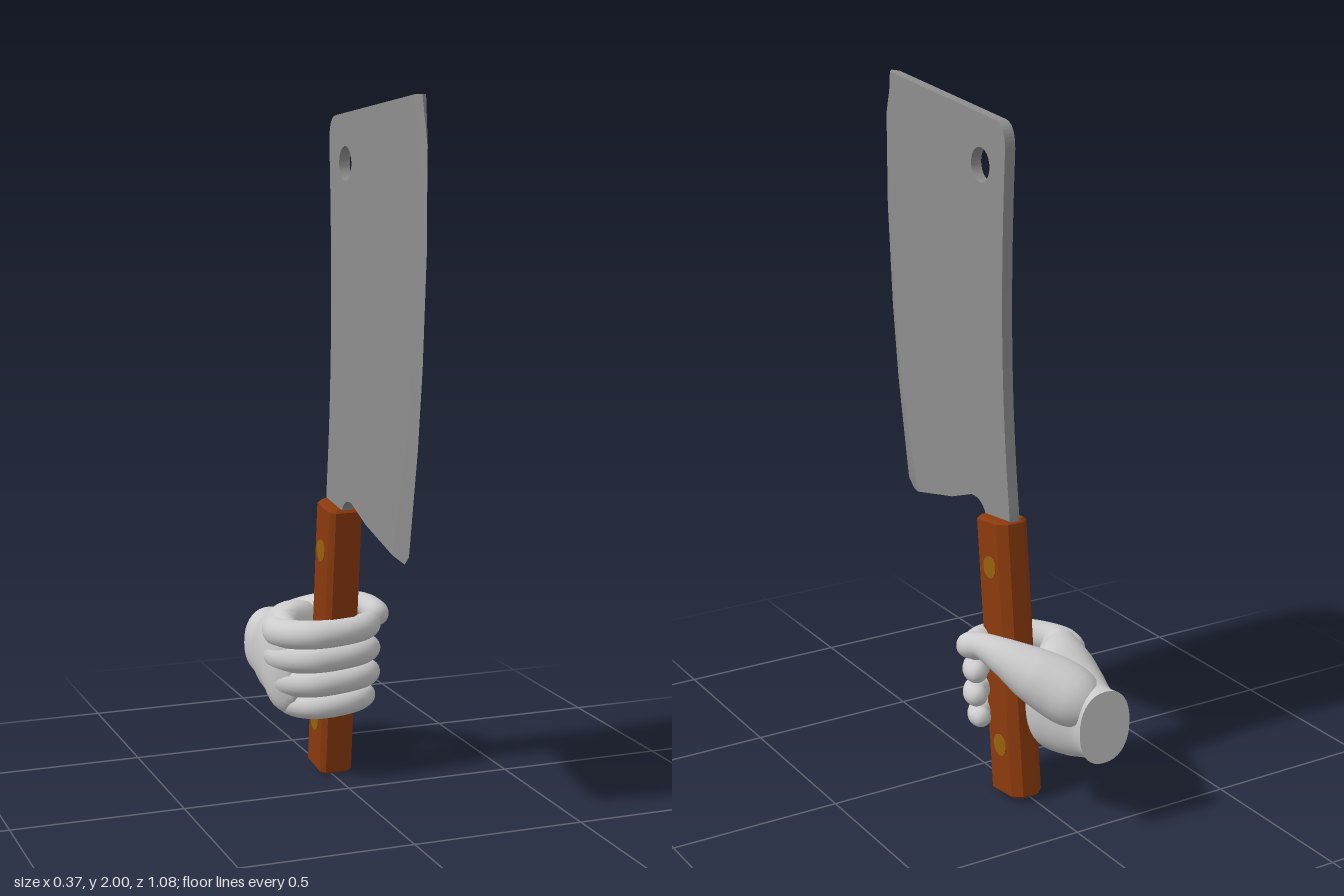
import * as THREE from 'three';
import { mergeVertices, toCreasedNormals } from 'three/addons/utils/BufferGeometryUtils.js';

const V = (x, y, z) => new THREE.Vector3(x, y, z);
const paint = (color) => new THREE.MeshStandardMaterial({ color });

function add(parent, name, geometry, material) {
  const mesh = new THREE.Mesh(geometry, material);
  mesh.name = name;
  parent.add(mesh);
  return mesh;
}

function weld(geometry) {
  geometry.deleteAttribute('uv');
  geometry.deleteAttribute('normal');
  const g = mergeVertices(geometry, 1e-5);
  g.computeVertexNormals();
  return g;
}

// Tapered tube with rounded ends; each stop is [x, y, z, radius].
function limb(stops) {
  const path = new THREE.CatmullRomCurve3(stops.map((s) => V(s[0], s[1], s[2])));
  const radii = new THREE.SplineCurve(stops.map((s, i) => new THREE.Vector2(i, s[3])));
  const segs = 56, sides = 20, length = path.getLength();
  const g = new THREE.TubeGeometry(path, segs, 1, sides);
  const p = g.attributes.position, v = V(0, 0, 0);
  for (let i = 0; i <= segs; i++) {
    const t = i / segs, c = path.getPointAt(t);
    let r = radii.getPoint(path.getUtoTmapping(t)).y;
    const d = Math.min(t, 1 - t) * length;
    if (d < r) r *= Math.sqrt(Math.max(0, 1 - (1 - d / r) ** 2));
    for (let j = 0; j <= sides; j++) {
      const k = i * (sides + 1) + j;
      v.fromBufferAttribute(p, k).sub(c).multiplyScalar(r).add(c);
      p.setXYZ(k, v.x, v.y, v.z);
    }
  }
  return weld(g);
}

// Palm and wrist: a cylinder reshaped through sections [z, xMin, xMax, yMin, yMax].
function palmGeometry() {
  const sections = [
    [-0.535, -0.145, 0.02, 0.215, 0.43],
    [-0.48, -0.142, 0.0, 0.205, 0.425],
    [-0.41, -0.158, 0.035, 0.188, 0.46],
    [-0.34, -0.172, 0.065, 0.183, 0.495],
    [-0.28, -0.18, 0.03, 0.185, 0.5],
    [-0.23, -0.184, -0.05, 0.19, 0.49],
    [-0.17, -0.172, -0.075, 0.2, 0.475],
    [-0.13, -0.14, -0.09, 0.24, 0.44],
  ];
  const curves = [1, 2, 3, 4].map((k) =>
    new THREE.CatmullRomCurve3(sections.map((s) => V(s[0], s[k], 0))));
  const g = new THREE.CylinderGeometry(1, 1, 1, 36, 42);
  const p = g.attributes.position;
  const round = (n) => Math.sign(n) * Math.abs(n) ** 0.88;
  for (let i = 0; i < p.count; i++) {
    const t = p.getY(i) + 0.5;
    const [x0, x1, y0, y1] = curves.map((c) => c.getPoint(t).y);
    p.setXYZ(i,
      (x0 + x1) / 2 + round(p.getX(i)) * (x1 - x0) / 2,
      (y0 + y1) / 2 - round(p.getZ(i)) * (y1 - y0) / 2,
      curves[0].getPoint(t).x);
  }
  return toCreasedNormals(weld(g), 0.9);
}

// Blade outlines as [z, y].
const EDGE = [[0.505, 2], [0.54, 1.87], [0.54, 1.6], [0.517, 1.3], [0.488, 1.08], [0.43, 0.78], [0.4, 0.754]];
const BEVEL = [[0.472, 2], [0.485, 1.87], [0.477, 1.6], [0.455, 1.3], [0.425, 1.08], [0.342, 0.8], [0.332, 0.766]];
const MID_X = 0.016, HALF = 0.016;

function bladeBody() {
  const s = new THREE.Shape();
  BEVEL.forEach(([z, y], i) => (i ? s.lineTo(-z, y) : s.moveTo(-z, y)));
  s.lineTo(-0.13, 0.812);
  s.lineTo(-0.02, 0.852);
  s.quadraticCurveTo(0.035, 0.86, 0.06, 0.815);
  s.lineTo(0.075, 0.7);
  s.lineTo(0.19, 0.7);
  s.lineTo(0.188, 0.84);
  s.bezierCurveTo(0.15, 1.12, 0.13, 1.4, 0.157, 1.86);
  s.quadraticCurveTo(0.16, 1.935, 0.11, 1.942);
  s.closePath();
  const hole = new THREE.Path();
  hole.absarc(0.03, 1.81, 0.048, 0, Math.PI * 2, true);
  s.holes.push(hole);
  const g = new THREE.ExtrudeGeometry(s, { depth: HALF * 2, bevelEnabled: false, curveSegments: 20 });
  g.rotateY(Math.PI / 2).translate(MID_X - HALF, 0, 0);
  return toCreasedNormals(g, 0.5);
}

// Ground wedge running from the bevel line to the sharp edge.
function bladeWedge() {
  const pos = [], index = [], n = EDGE.length;
  for (let i = 0; i < n; i++) {
    const [ez, ey] = EDGE[i], [bz, by] = BEVEL[i];
    pos.push(MID_X + HALF, by, bz, 0.008, ey, ez, MID_X - HALF, by, bz);
    if (i === n - 1) continue;
    const a = i * 3, b = a + 3;
    index.push(a, a + 1, b, a + 1, b + 1, b, a + 1, a + 2, b + 1, a + 2, b + 2, b + 1);
  }
  const e = (n - 1) * 3;
  index.push(0, 2, 1, e, e + 1, e + 2);
  const g = new THREE.BufferGeometry();
  g.setAttribute('position', new THREE.Float32BufferAttribute(pos, 3));
  g.setIndex(index);
  return toCreasedNormals(g, 0.4);
}

function makeHandle() {
  const handle = new THREE.Group();
  handle.name = 'handle';
  // Chamfered grip, larger chamfers along the back
  const w = 0.042, d = 0.063, b = 0.02, f = 0.01;
  const s = new THREE.Shape([
    [-w + f, -d], [w - f, -d], [w, -d + f], [w, d - b],
    [w - b, d], [-w + b, d], [-w, d - b], [-w, -d + f],
  ].map(([x, y]) => new THREE.Vector2(x, y)));
  const grip = new THREE.ExtrudeGeometry(s, {
    depth: 0.806, bevelThickness: 0.008, bevelSize: 0.008, bevelSegments: 1,
  });
  grip.rotateX(-Math.PI / 2).translate(0, 0.008, 0);
  add(handle, 'grip', toCreasedNormals(grip, 0.3), paint(0x8b3a0e));
  // Rivets through the grip
  const brass = paint(0x96600c);
  for (const y of [0.152, 0.415, 0.682]) {
    const rivet = new THREE.CylinderGeometry(0.032, 0.032, 0.106, 28).rotateZ(Math.PI / 2);
    add(handle, 'rivet', rivet.translate(0, y, 0), brass);
  }
  handle.position.set(0.015, 0.009, -0.212);
  handle.rotation.x = 0.11;
  return handle;
}

function makeHand() {
  const hand = new THREE.Group();
  hand.name = 'hand';
  const skin = paint(0xcccccc);
  add(hand, 'palm', palmGeometry(), skin);
  // Four curled fingers, top to bottom: [height, knuckle inset, tip inset, thickness]
  const fingers = [[0.447, 0, 0, 0.042], [0.375, 0, 0, 0.041], [0.302, 0.008, 0, 0.04], [0.232, 0.035, 0.012, 0.037]];
  fingers.forEach(([y, k, t, r]) => add(hand, 'finger', limb([
    [-0.125 + k, y - 0.01, -0.29, r],
    [-0.142 + k, y - 0.012, -0.195, r * 1.05],
    [-0.075 + k * 0.4, y - 0.004, -0.105, r * 1.03],
    [0.015, y + 0.003, -0.087, r * 0.97],
    [0.085 - t, y + 0.008, -0.105, r * 0.95],
    [0.115 - t, y + 0.008, -0.14, r * 0.85],
    [0.11 - t, y + 0.007, -0.182, r * 0.72],
  ]), skin));
  // Thumb, rising from the wrist and resting beside the grip
  add(hand, 'thumb', limb([
    [-0.065, 0.34, -0.5, 0.07],
    [-0.02, 0.385, -0.41, 0.088],
    [0.045, 0.432, -0.34, 0.078],
    [0.1, 0.472, -0.275, 0.054],
    [0.135, 0.49, -0.21, 0.037],
    [0.148, 0.478, -0.165, 0.038],
    [0.147, 0.468, -0.125, 0.032],
  ]), skin);
  return hand;
}

export function createModel() {
  const model = new THREE.Group();
  model.name = 'cleaverInHand';
  const blade = new THREE.Group();
  blade.name = 'blade';
  const steel = paint(0x8e8e8e);
  add(blade, 'bladeBody', bladeBody(), steel);
  add(blade, 'cuttingEdge', bladeWedge(), steel);
  model.add(blade, makeHandle(), makeHand());
  return model;
}
